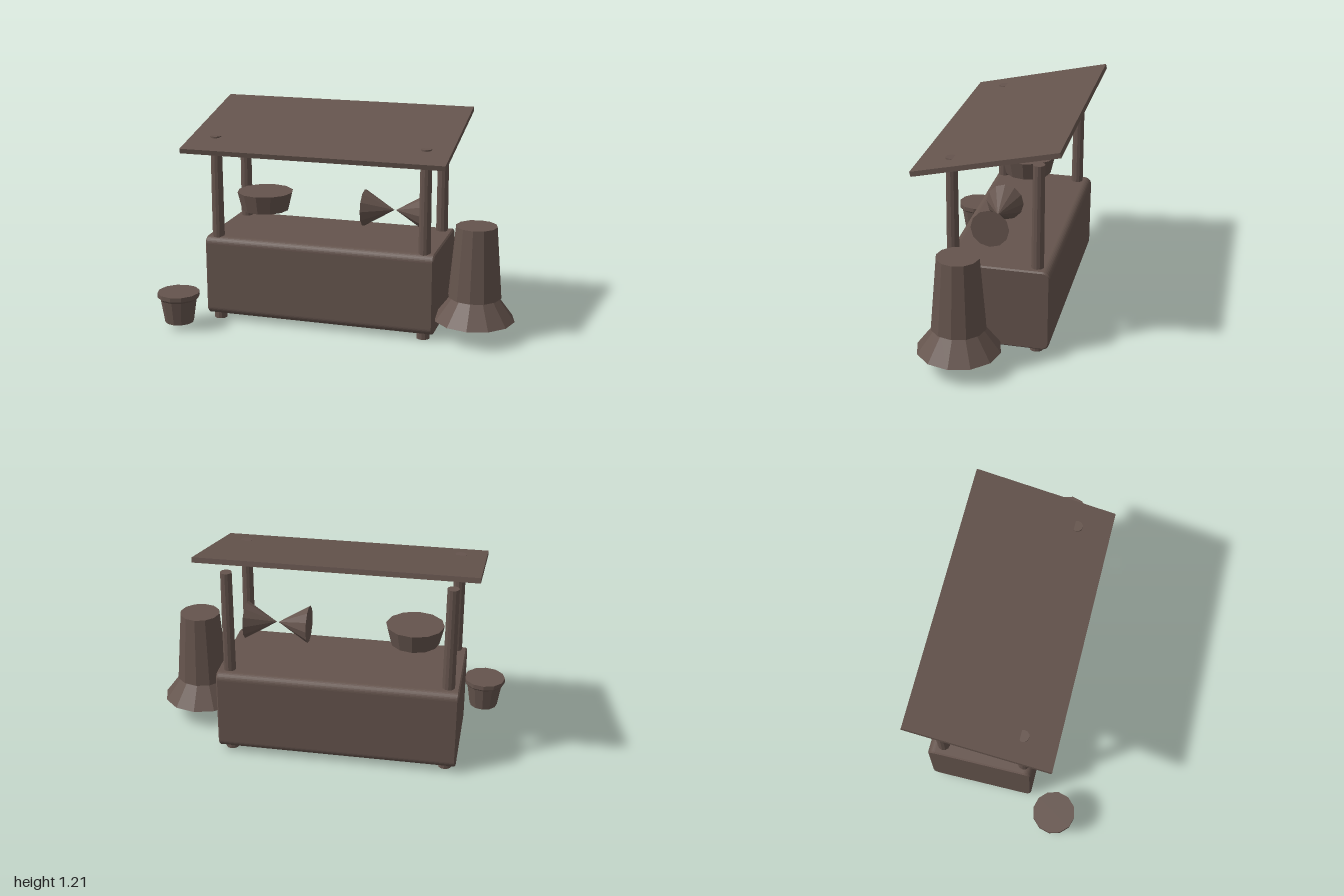
import * as THREE from 'three';

const material = new THREE.MeshStandardMaterial({ color: 0x65544d, flatShading: true });

function add(parent, name, geometry, x, y, z) {
  const mesh = new THREE.Mesh(geometry, material);
  mesh.name = name;
  mesh.position.set(x, y, z);
  parent.add(mesh);
  return mesh;
}

// Closed turned shape from [radius, height] pairs, bottom to top
function turned(profile, sides = 12) {
  const points = [[0, profile[0][1]], ...profile, [0, profile[profile.length - 1][1]]];
  return new THREE.LatheGeometry(points.map(([r, y]) => new THREE.Vector2(r, y)), sides);
}

// Box along x with rounded long edges and a fine bevel on its ends
function counterGeometry(width, height, depth, radius, bevel) {
  const w = depth / 2 - bevel, h = height / 2 - bevel, r = radius - bevel;
  const shape = new THREE.Shape();
  shape.absarc(w - r, h - r, r, 0, Math.PI / 2);
  shape.absarc(-w + r, h - r, r, Math.PI / 2, Math.PI);
  shape.absarc(-w + r, -h + r, r, Math.PI, Math.PI * 1.5);
  shape.absarc(w - r, -h + r, r, Math.PI * 1.5, Math.PI * 2);
  const geometry = new THREE.ExtrudeGeometry(shape, {
    depth: width - 2 * bevel, curveSegments: 4,
    bevelSize: bevel, bevelThickness: bevel, bevelSegments: 1,
  });
  geometry.center();
  return geometry.rotateY(Math.PI / 2);
}

export function createModel() {
  const model = new THREE.Group();
  model.name = 'marketStall';

  // Counter body
  add(model, 'counter', counterGeometry(1.34, 0.468, 0.595, 0.042, 0.008), -0.105, 0.265, -0.112);

  // Four tapered posts, passing through the counter as feet
  const post = new THREE.CylinderGeometry(0.032, 0.037, 1.083, 12);
  for (const x of [-0.712, 0.502]) {
    for (const z of [0.132, -0.33]) add(model, 'post', post, x, 0.5415, z);
  }

  // Sloping roof board, low at the front
  const roof = add(model, 'roof', new THREE.BoxGeometry(1.5, 0.028, 0.8), -0.105, 1.112, -0.075);
  roof.rotation.x = 0.22;

  // Hanging pan on the model's right
  add(model, 'pan', turned([[0.137, 0], [0.163, 0.107]]), -0.494, 0.622, -0.065);

  // Pair of cones, tips meeting
  const cones = new THREE.Group();
  cones.name = 'conePair';
  cones.position.set(0.286, 0.675, -0.061);
  for (const side of [-1, 1]) {
    const cone = add(cones, 'cone', new THREE.ConeGeometry(0.106, 0.176, 12), side * 0.092, 0, 0);
    cone.rotation.z = side * Math.PI / 2;
  }
  model.add(cones);

  // Tall vessel with a flared skirt
  const vessel = new THREE.Group();
  vessel.name = 'vessel';
  vessel.position.set(0.77, 0, 0.034);
  add(vessel, 'vesselSkirt', turned([[0.228, 0.11], [0.13, 0.242]]), 0, 0, 0);
  add(vessel, 'vesselBody', turned([[0.15, 0.242], [0.115, 0.648]]), 0, 0, 0);
  model.add(vessel);

  // Small pot with a chamfered rim
  const pot = new THREE.Group();
  pot.name = 'pot';
  pot.position.set(-0.88, 0, 0.348);
  add(pot, 'potBody', turned([[0.082, 0.033], [0.104, 0.175]]), 0, 0, 0);
  add(pot, 'potRim', turned([[0.108, 0.172], [0.12, 0.184], [0.12, 0.21]]), 0, 0, 0);
  model.add(pot);

  return model;
}
